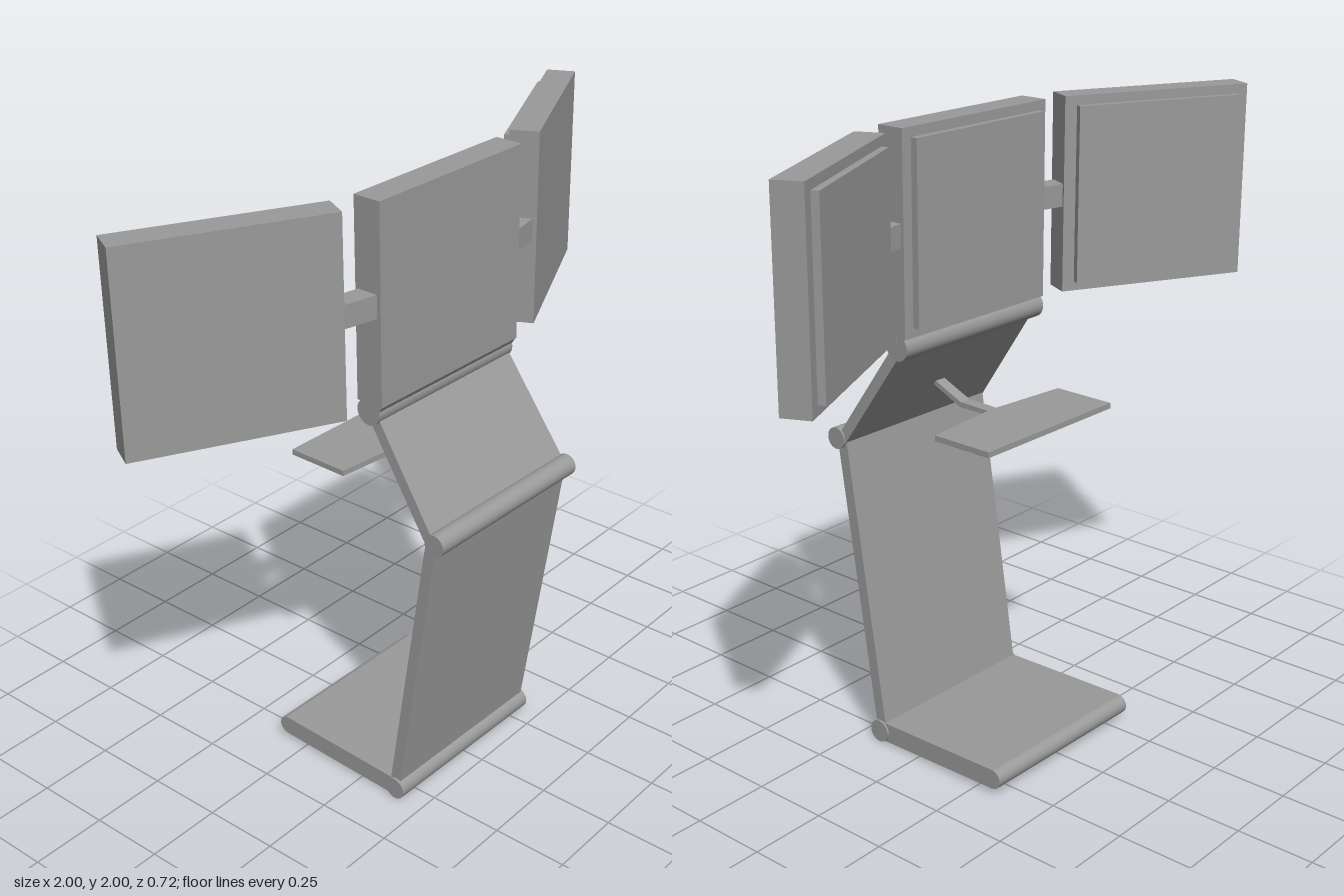
import * as THREE from 'three';

const mat = new THREE.MeshStandardMaterial({ color: 0x9a9a9a });

function add(parent, geometry, name, x = 0, y = 0, z = 0) {
  const mesh = new THREE.Mesh(geometry, mat);
  mesh.name = name;
  mesh.position.set(x, y, z);
  parent.add(mesh);
  return mesh;
}

// Horizontal hinge roll along x
function roll(parent, name, width, radius, [z, y]) {
  add(parent, new THREE.CylinderGeometry(radius, radius, width, 32), name, 0, y, z).rotation.z = Math.PI / 2;
}

// Slab spanning two [z, y] points, its width tapering from w0 to w1
function slab(parent, name, [z0, y0], [z1, y1], w0, w1, thick) {
  const length = Math.hypot(z1 - z0, y1 - y0);
  const geo = new THREE.BoxGeometry(1, length, thick);
  const p = geo.attributes.position;
  for (let i = 0; i < p.count; i++) p.setX(i, p.getX(i) * (p.getY(i) < 0 ? w0 : w1));
  geo.computeVertexNormals();
  add(parent, geo, name, 0, (y0 + y1) / 2, (z0 + z1) / 2).rotation.x = Math.atan2(z1 - z0, y1 - y0);
}

function extrude(points, depth) {
  const shape = new THREE.Shape(points.map(([x, y]) => new THREE.Vector2(x, y)));
  return new THREE.ExtrudeGeometry(shape, { depth, bevelEnabled: false });
}

// Side profile given as [-z, y] points, extruded across x
function crossBar(parent, name, points, width) {
  add(parent, extrude(points, width).translate(0, 0, -width / 2).rotateY(Math.PI / 2), name);
}

// Monitor with a raised panel on its back
function monitor(parent, name, width, depth) {
  const g = new THREE.Group();
  g.name = name;
  add(g, new THREE.BoxGeometry(width, 0.62, depth), 'screenCase');
  add(g, new THREE.BoxGeometry(0.555, 0.56, 0.03), 'screenBackPanel', 0, 0, -depth / 2 - 0.008);
  parent.add(g);
  return g;
}

export function createModel() {
  const model = new THREE.Group();
  model.name = 'workstation';
  const stand = new THREE.Group();
  stand.name = 'stand';
  stand.position.x = -0.004;
  stand.rotation.y = -0.02; // slight turn of the whole stand
  model.add(stand);

  // Roll centres in the side profile, as [z, y]
  const heel = [0.156, 0.037], toe = [-0.321, 0.05], knee = [0.316, 1.005], neck = [0.06, 1.349];
  // The column slabs meet just behind the knee roll, so their backs fold cleanly
  const fold = [0.298, 1.001];

  // Foot, folded column and hinge rolls
  slab(stand, 'footPlate', heel, toe, 0.632, 0.632, 0.065);
  roll(stand, 'footBackEdge', 0.632, 0.032, toe);
  roll(stand, 'heelRoll', 0.645, 0.037, heel);
  slab(stand, 'lowerColumn', [0.15, 0.037], fold, 0.628, 0.628, 0.038);
  roll(stand, 'kneeRoll', 0.645, 0.035, knee);
  slab(stand, 'upperColumn', fold, neck, 0.635, 0.602, 0.036);
  roll(stand, 'neckRoll', 0.62, 0.042, neck);

  // Sloped lip between the neck roll and the centre screen
  crossBar(stand, 'screenLip', [[-0.114, 1.382], [-0.101, 1.361], [-0.06, 1.361], [-0.06, 1.382]], 0.622);

  // Monitors and the arms joining them
  monitor(stand, 'centreMonitor', 0.625, 0.093).position.set(0, 1.69, 0.068);
  for (const [side, s] of [['left', 1], ['right', -1]]) {
    const m = monitor(stand, side + 'Monitor', 0.635, 0.092);
    m.position.set(s * 0.696, 1.69, -0.093);
    m.rotation.y = s * 0.463;
    add(stand, new THREE.BoxGeometry(0.15, 0.072, 0.068), side + 'Arm', s * 0.36, 1.69, 0.057).rotation.y = s * 0.2;
  }

  // Tray at the back on a bent bracket
  const outline = [[-0.285, 0.278], [-0.285, 0.068], [-0.02, 0.043], [0.02, 0.043], [0.285, 0.068], [0.285, 0.278]];
  add(stand, extrude(outline, 0.018), 'tray', 0, 1.082, 0).rotation.x = -Math.PI / 2;
  crossBar(stand, 'trayBracket', [
    [-0.195, 1.155], [-0.188, 1.136], [-0.075, 1.084], [0.06, 1.084], [0.06, 1.098], [-0.072, 1.101],
  ], 0.04);

  return model;
}
